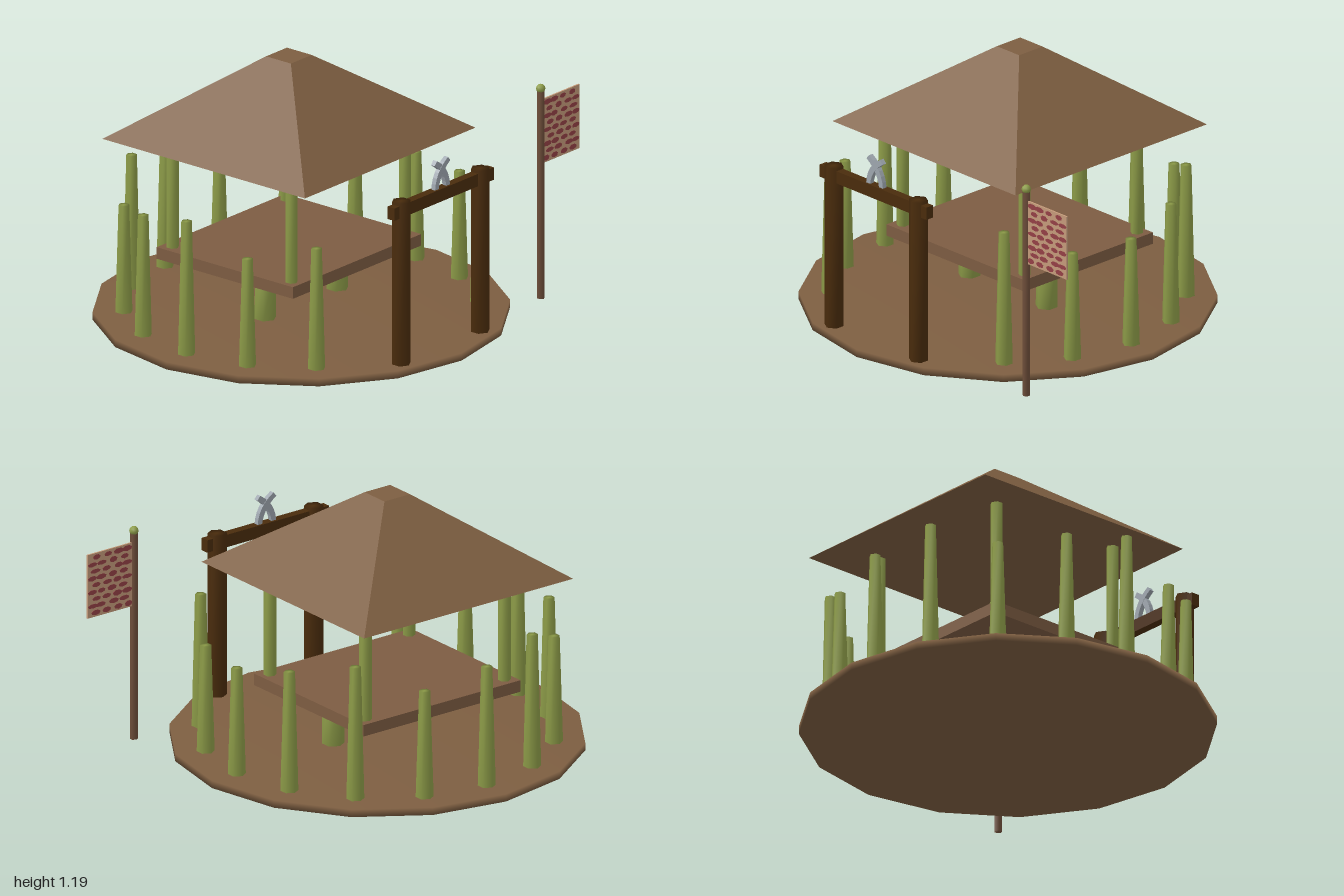
import * as THREE from 'three';
import { mergeVertices } from 'three/addons/utils/BufferGeometryUtils.js';

const material = (name, color) => {
  const m = new THREE.MeshStandardMaterial({ color });
  m.name = name;
  return m;
};

export function createModel() {
  const model = new THREE.Group();
  model.name = 'stockadePavilion';

  const earth = material('earth brown', 0x7d5e41);
  const plank = material('plank brown', 0x7d5c42);
  const darkWood = material('dark wood', 0x4a2c0c);
  const bamboo = material('bamboo green', 0x8d9c48);
  const poleWood = material('pole wood', 0x6e4e3a);
  const steel = material('steel grey', 0x9ea6ae);
  const cloth = material('tan cloth', 0xc49a7a);
  const dye = material('red dye', 0x944045);

  const CX = -0.083; // centre of the round camp
  const RZ = -0.071; // centre of the pavilion in depth

  const add = (name, geometry, mat, x, y, z, parent = model) => {
    const mesh = new THREE.Mesh(geometry, mat);
    mesh.name = name;
    mesh.position.set(x, y, z);
    parent.add(mesh);
    return mesh;
  };

  // Cylinder with normals shared over its edges, giving soft shading
  const softCylinder = (rTop, rBottom, height, sides) => {
    const g = new THREE.CylinderGeometry(rTop, rBottom, height, sides);
    g.deleteAttribute('uv');
    g.deleteAttribute('normal');
    const merged = mergeVertices(g, 1e-5);
    merged.computeVertexNormals();
    return merged;
  };

  // Upright round part between two heights
  const upright = (name, mat, x, z, y0, y1, rTop, rBottom, parent) =>
    add(name, softCylinder(rTop, rBottom, y1 - y0, 6), mat, x, (y0 + y1) / 2, z, parent);

  // Ground disc
  add('ground', softCylinder(0.918, 0.918, 0.035, 16), earth, CX, 0.0175, 0);

  // Ring of stakes with three heights, open at the front for the gate
  const fence = new THREE.Group();
  fence.name = 'fence';
  model.add(fence);
  const stakeTops = [0.594, 0.533, 0.654];
  for (let k = 1; k <= 16; k++) {
    if (k >= 3 && k <= 5) continue;
    const a = (k * Math.PI) / 8;
    upright('stake', bamboo, CX + 0.78 * Math.cos(a), 0.78 * Math.sin(a),
      0.03, stakeTops[k % 3], 0.025, 0.04, fence);
  }

  // Pavilion: legs, floor, corner posts and hipped roof
  const pavilion = new THREE.Group();
  pavilion.name = 'pavilion';
  model.add(pavilion);
  add('floor', new THREE.BoxGeometry(0.872, 0.054, 0.78), plank, CX, 0.296, RZ, pavilion);
  for (const sx of [-1, 1]) {
    upright('leg', bamboo, CX + sx * 0.245, 0, 0.05, 0.27, 0.048, 0.05, pavilion);
    for (const sz of [-1, 1]) {
      upright('cornerPost', bamboo, CX + sx * 0.386, RZ + sz * 0.34, 0.32, 0.83, 0.028, 0.028, pavilion);
    }
  }
  const roofShape = new THREE.CylinderGeometry(0.071 * Math.SQRT2, 0.58 * Math.SQRT2, 0.363, 4, 1);
  roofShape.rotateY(Math.PI / 4);
  const roofGeometry = roofShape.toNonIndexed();
  roofGeometry.computeVertexNormals();
  add('roof', roofGeometry, earth, CX, 0.825 + 0.1815, RZ, pavilion);

  // Gate with two posts and a crossbeam
  const gate = new THREE.Group();
  gate.name = 'gate';
  model.add(gate);
  for (const s of [-1, 1]) {
    upright('gatePost', darkWood, CX + s * 0.268, 0.798, 0.03, 0.795, 0.043, 0.043, gate);
  }
  add('gateBeam', new THREE.BoxGeometry(0.676, 0.058, 0.04), darkWood, CX, 0.754, 0.798, gate);

  // Crossed curved blades above the gate
  const blade = new THREE.Shape();
  blade.moveTo(-0.052, 0);
  blade.quadraticCurveTo(-0.047, 0.085, 0.036, 0.134);
  blade.lineTo(0.052, 0.115);
  blade.quadraticCurveTo(-0.018, 0.07, -0.027, 0);
  blade.closePath();
  const bladeGeometry = new THREE.ExtrudeGeometry(blade, { depth: 0.022, bevelEnabled: false, curveSegments: 6 });
  bladeGeometry.translate(0, 0, -0.011);
  add('bladeLeft', bladeGeometry, steel, CX, 0.782, 0.799, gate);
  add('bladeRight', bladeGeometry, steel, CX, 0.782, 0.797, gate).rotation.y = Math.PI;

  // Flagpole with a round finial
  const banner = new THREE.Group();
  banner.name = 'banner';
  model.add(banner);
  const FX = 0.741, FZ = 0.677;
  upright('flagPole', poleWood, FX, FZ, 0, 0.97, 0.017, 0.018, banner);
  add('finial', new THREE.SphereGeometry(0.021, 8, 6), bamboo, FX, 0.979, FZ, banner);

  // Cloth with irregular dyed patches on both faces
  const flagW = 0.247, flagH = 0.299;
  const flag = new THREE.Group();
  flag.name = 'flag';
  flag.position.set(0.8765, 0.777, FZ);
  banner.add(flag);
  add('flagCloth', new THREE.BoxGeometry(flagW, flagH, 0.008), cloth, 0, 0, 0, flag);
  let seed = 7;
  const random = () => (seed = (seed * 16807) % 2147483647) / 2147483647;
  const rows = 9, cols = 4;
  for (let r = 0; r < rows; r++) {
    for (let c = 0; c < cols; c++) {
      const rx = 0.021 + 0.009 * random();
      const ry = 0.010 + 0.004 * random();
      const shift = (r % 2 ? 0.25 : -0.25) + 0.2 * (random() - 0.5);
      const limit = flagW / 2 - rx;
      const x = THREE.MathUtils.clamp(((c + 0.5 + shift) / cols - 0.5) * flagW, -limit, limit);
      const y = ((r + 0.5) / rows - 0.5) * (flagH - 0.006);
      const patch = new THREE.CylinderGeometry(1, 1, 0.0095, 7);
      patch.rotateX(Math.PI / 2);
      patch.scale(rx, ry, 1);
      add('dyePatch', patch, dye, x, y, 0, flag);
    }
  }

  return model;
}
